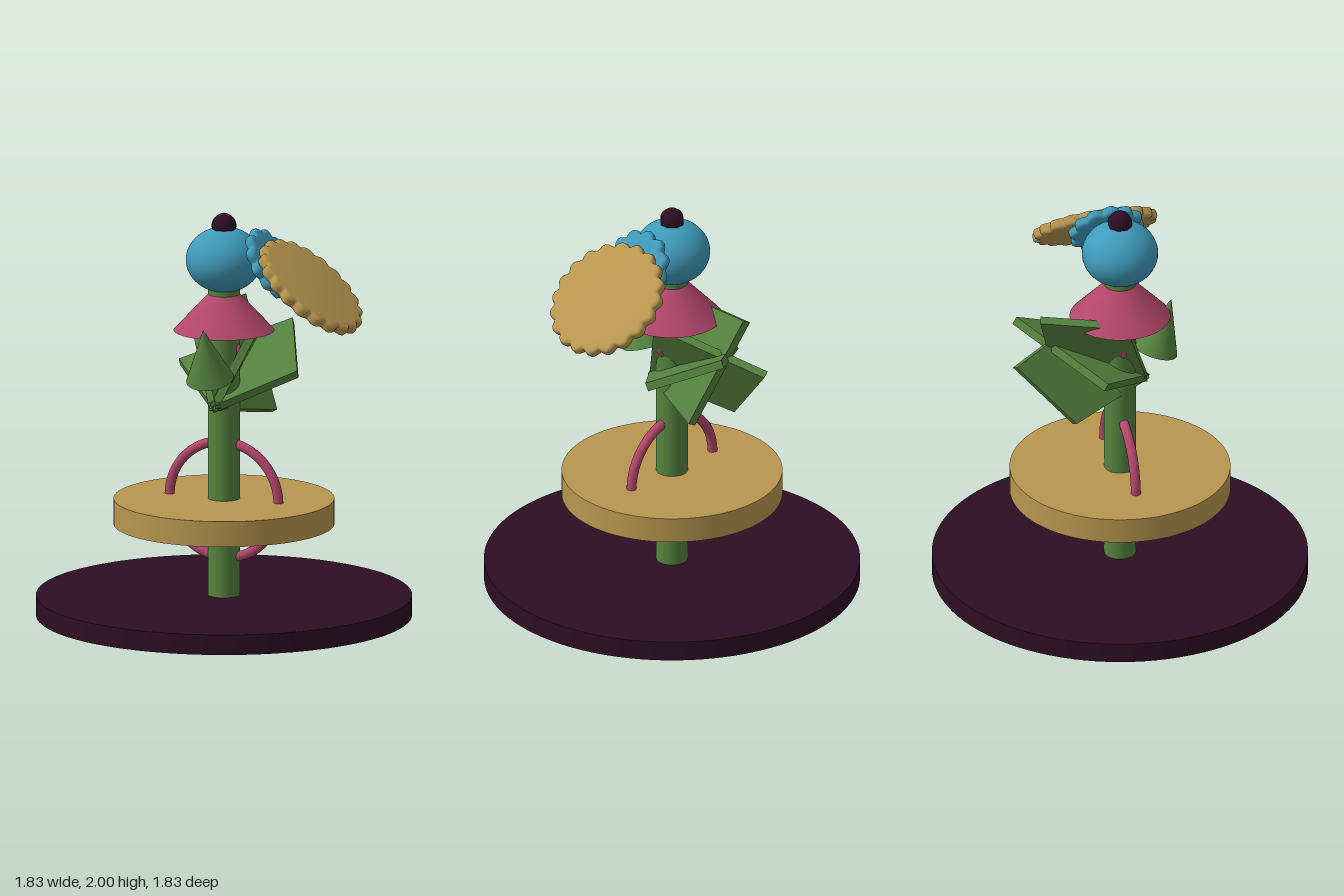
import * as THREE from 'three';
import { toCreasedNormals } from 'three/addons/utils/BufferGeometryUtils.js';

const material = (name, color) => {
  const m = new THREE.MeshStandardMaterial({ color });
  m.name = name;
  return m;
};

// Thin round plate with a scalloped, rounded rim, lying flat and centred
function scallopedDisc(radius, lobes, thickness, depth) {
  const bevel = 0.018;
  const points = [];
  const steps = lobes * 8;
  for (let i = 0; i < steps; i++) {
    const a = (i / steps) * Math.PI * 2;
    const r = radius - bevel - depth + depth * Math.cos(a * lobes);
    points.push(new THREE.Vector2(r * Math.cos(a), r * Math.sin(a)));
  }
  const geometry = new THREE.ExtrudeGeometry(new THREE.Shape(points), {
    depth: thickness - 2 * bevel, bevelEnabled: true,
    bevelThickness: bevel, bevelSize: bevel, bevelSegments: 3,
  });
  geometry.center();
  geometry.rotateX(-Math.PI / 2);
  return toCreasedNormals(geometry, 0.7);
}

export function createModel() {
  const plum = material('plum', 0x2e0e24);
  const gold = material('gold', 0xb8964f);
  const green = material('green', 0x55833f);
  const pink = material('pink', 0xb2466b);
  const blue = material('blue', 0x3f9aba);

  const model = new THREE.Group();
  model.name = 'ornament';
  const add = (name, geometry, mat, x, y, z, parent = model) => {
    const mesh = new THREE.Mesh(geometry, mat);
    mesh.name = name;
    mesh.position.set(x, y, z);
    parent.add(mesh);
    return mesh;
  };

  // Stand: base, stem, platform
  add('base', new THREE.CylinderGeometry(0.916, 0.916, 0.1, 96), plum, 0, 0.05, 0);
  add('stem', new THREE.CylinderGeometry(0.077, 0.077, 1.55, 40), green, 0, 0.86, 0);
  add('platform', new THREE.CylinderGeometry(0.538, 0.538, 0.127, 80), gold, 0, 0.518, 0);

  // Upright rings around the stem
  add('largeRing', new THREE.TorusGeometry(0.288, 0.024, 14, 48), pink, 0, 0.575, 0);
  add('smallRing', new THREE.TorusGeometry(0.082, 0.021, 12, 32), pink, 0, 1.29, 0);

  // Collar, head and knob
  add('collar', new THREE.ConeGeometry(0.246, 0.26, 48), pink, 0, 1.55, 0);
  add('head', new THREE.SphereGeometry(0.186, 40, 28), blue, 0, 1.77, 0).scale.y = 0.86;
  add('knob', new THREE.SphereGeometry(0.061, 8, 10), plum, 0, 1.94, 0).rotation.y = Math.PI / 8;

  // Scalloped plates tilted beside the head
  add('smallScallop', scallopedDisc(0.188, 12, 0.05, 0.012), blue, 0.248, 1.77, 0).rotation.z = -1.04;
  add('largeScallop', scallopedDisc(0.308, 20, 0.054, 0.012), gold, 0.457, 1.672, 0).rotation.z = -0.71;

  // Front cone, leaning forward
  add('frontCone', new THREE.ConeGeometry(0.117, 0.275, 32), green, 0, 1.34, 0.217).rotation.x = 0.32;

  // Three flat blades crossing along one axis that rises to the back
  const blades = new THREE.Group();
  blades.name = 'rearBlades';
  blades.position.set(0, 1.05, 0.14);
  blades.rotation.x = -1.088;
  model.add(blades);
  const outline = [[0, 0], [0.33, 0.318], [0.16, 0.71], [-0.3, 0.33]];
  const bladeGeometry = new THREE.ExtrudeGeometry(
    new THREE.Shape(outline.map(([x, y]) => new THREE.Vector2(x, y))),
    { depth: 0.042, bevelEnabled: false });
  bladeGeometry.translate(0, 0, -0.021);
  for (let i = 0; i < 3; i++) {
    add('blade', bladeGeometry, green, 0, 0, 0, blades).rotation.y = (i * Math.PI * 2) / 3;
  }

  return model;
}
